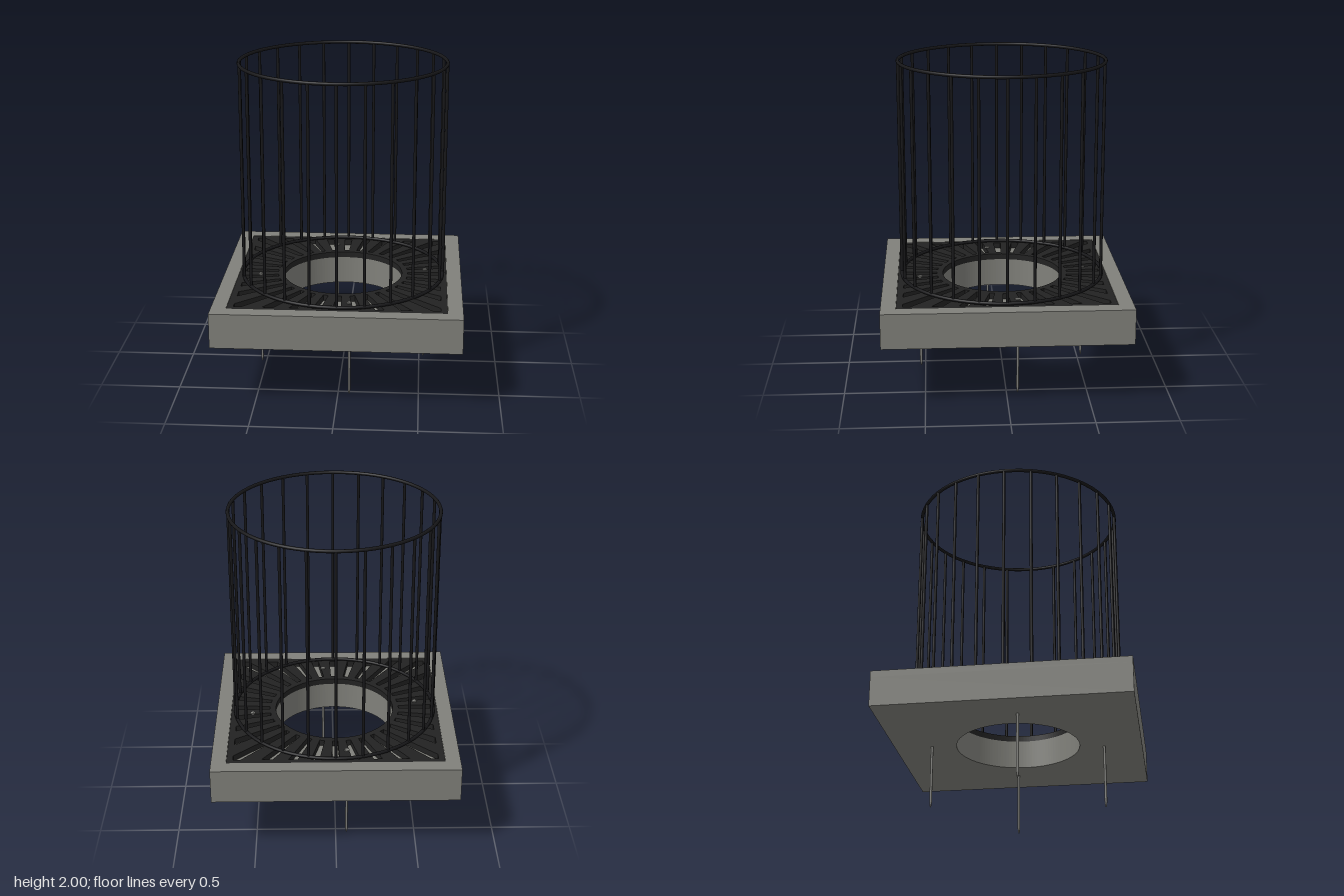
import * as THREE from 'three';

const HOLE = 0.38;      // radius of the central opening
const BASE_Y = 0.39;    // underside of the concrete frame
const TOP_Y = 0.61;     // top of the concrete frame
const FLOOR_Y = 0.57;   // floor of the recess

const material = (name, color) => {
  const m = new THREE.MeshStandardMaterial({ color });
  m.name = name;
  return m;
};

const squareShape = (h) => new THREE.Shape([
  new THREE.Vector2(-h, -h), new THREE.Vector2(h, -h),
  new THREE.Vector2(h, h), new THREE.Vector2(-h, h),
]);

const circleHole = (r) => new THREE.Path().absarc(0, 0, r, 0, Math.PI * 2, true);

// Extrude a ground-plan shape upwards between two heights
function slab(shape, y0, y1) {
  const g = new THREE.ExtrudeGeometry(shape, { depth: y1 - y0, bevelEnabled: false, curveSegments: 64 });
  g.rotateX(-Math.PI / 2);
  g.translate(0, y0, 0);
  return g;
}

// Radial wedge slot, cut off by a square of half-size h
function slotPath(angle, halfAngle, inner, h) {
  const point = (a, r) => new THREE.Vector2(Math.cos(a) * r, Math.sin(a) * r);
  const edge = (a) => h / Math.max(Math.abs(Math.cos(a)), Math.abs(Math.sin(a)));
  const a0 = angle - halfAngle, a1 = angle + halfAngle;
  const pts = [point(a0, inner), point(a0, edge(a0))];
  if (Math.abs(Math.abs(Math.cos(angle)) - Math.SQRT1_2) < 1e-6) pts.push(point(angle, edge(angle)));
  pts.push(point(a1, edge(a1)), point(a1, inner));
  return new THREE.Path(pts.reverse());
}

export function createModel() {
  const concrete = material('concrete', 0x80807a);
  const grateIron = material('grate iron', 0x222222);
  const guardIron = material('guard iron', 0x171719);
  const steel = material('steel', 0x80807c);

  const model = new THREE.Group();
  const add = (name, geometry, mat, parent = model) => {
    const mesh = new THREE.Mesh(geometry, mat);
    mesh.name = name;
    parent.add(mesh);
    return mesh;
  };
  const group = (name) => {
    const g = new THREE.Group();
    g.name = name;
    model.add(g);
    return g;
  };

  // Concrete base with a recess for the grate
  const base = group('concreteBase');
  const floor = squareShape(0.76);
  floor.holes.push(circleHole(HOLE));
  add('baseSlab', slab(floor, BASE_Y, FLOOR_Y), concrete, base);
  const rim = squareShape(0.76);
  rim.holes.push(new THREE.Path(squareShape(0.667).getPoints().reverse()));
  add('baseRim', slab(rim, FLOOR_Y, TOP_Y), concrete, base);

  // Iron grate with radial slots
  const plate = squareShape(0.666);
  plate.holes.push(circleHole(HOLE));
  const slots = 32;
  for (let i = 0; i < slots; i++) {
    plate.holes.push(slotPath((i / slots) * Math.PI * 2, 0.038, 0.418, 0.627));
  }
  add('grate', slab(plate, FLOOR_Y, TOP_Y - 0.002), grateIron);

  // Ground pins with washer heads, one per side
  const pins = group('groundPins');
  const rod = new THREE.CylinderGeometry(0.008, 0.008, 0.585, 12).translate(0, 0.3225, 0);
  const tip = new THREE.CylinderGeometry(0.008, 0.004, 0.03, 12).translate(0, 0.015, 0);
  const head = new THREE.CylinderGeometry(0.016, 0.016, 0.008, 16).translate(0, TOP_Y, 0);
  for (let i = 0; i < 4; i++) {
    const pin = new THREE.Group();
    pin.name = 'groundPin';
    add('pinRod', rod, steel, pin);
    add('pinTip', tip, steel, pin);
    add('pinHead', head, steel, pin);
    const a = (i * Math.PI) / 2 + 0.131;
    pin.position.set(Math.cos(a) * 0.532, 0, -Math.sin(a) * 0.532);
    pins.add(pin);
  }

  // Round guard: two hoops joined by upright bars
  const guard = group('guard');
  const R = 0.642, lowY = 0.622, highY = 1.989;
  const hoop = new THREE.TorusGeometry(R, 0.011, 10, 72).rotateX(Math.PI / 2);
  add('lowerHoop', hoop, guardIron, guard).position.y = lowY;
  add('upperHoop', hoop, guardIron, guard).position.y = highY;
  const bar = new THREE.CylinderGeometry(0.0095, 0.0095, highY - lowY, 10, 1, true);
  const bars = 24;
  for (let i = 0; i < bars; i++) {
    const a = (i / bars) * Math.PI * 2;
    add('guardBar', bar, guardIron, guard)
      .position.set(Math.cos(a) * R, (lowY + highY) / 2, Math.sin(a) * R);
  }

  return model;
}
